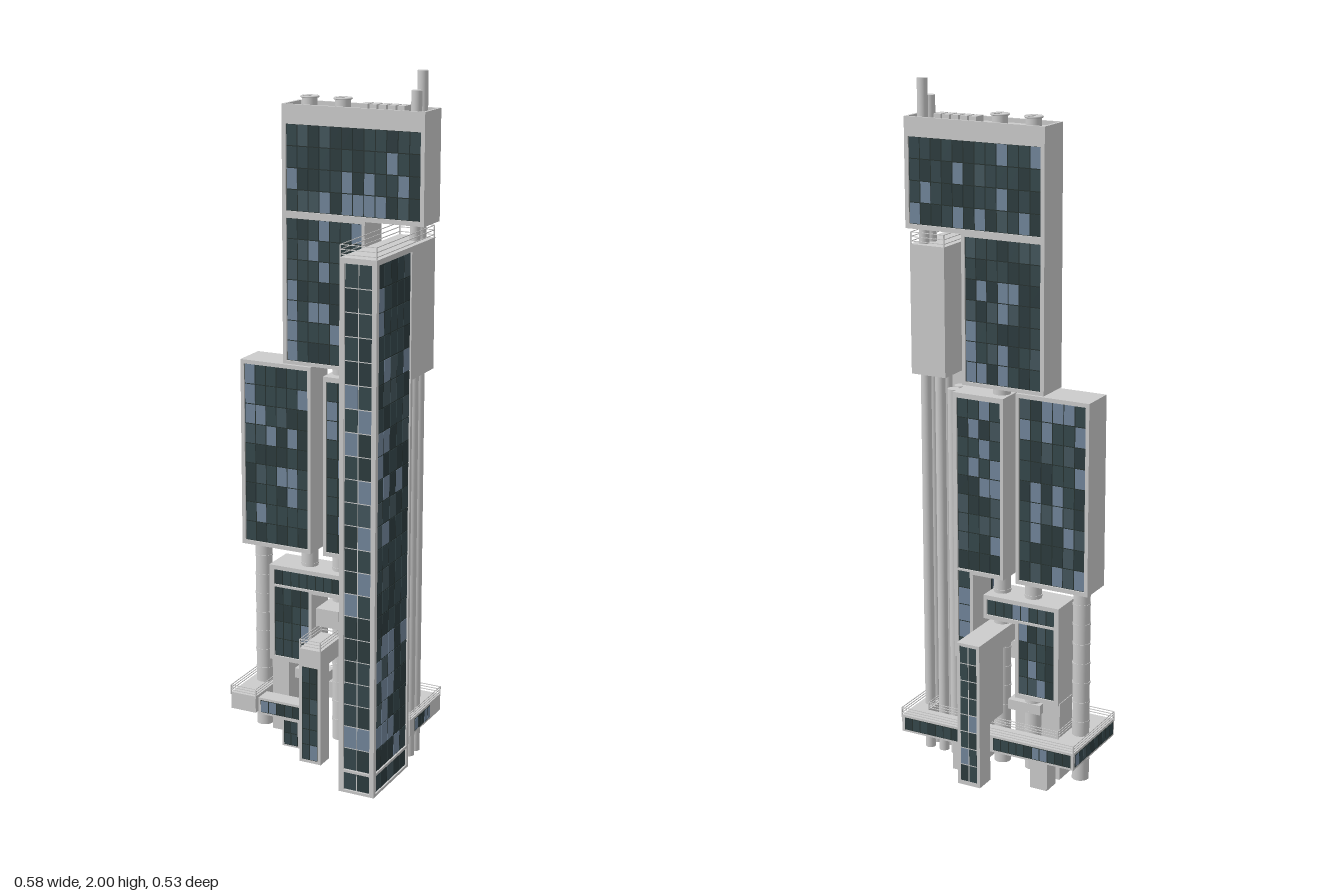
import * as THREE from 'three';
import { mergeGeometries } from 'three/addons/utils/BufferGeometryUtils.js';

const mat = (color) => new THREE.MeshStandardMaterial({ color });
const RECESS = 0.005;

export function createModel() {
  const root = new THREE.Group();
  const grey = mat(0xcccccc), dark = mat(0x26312f);
  const glass = [0x35474b, 0x2c3b3e, 0x43555c, 0x71859a].map(mat);

  let seed = 7;
  const rand = () => (seed = (seed * 16807) % 2147483647) / 2147483647;

  function add(name, geo, material = grey, parent = root) {
    const m = new THREE.Mesh(geo, material);
    m.name = name;
    parent.add(m);
    return m;
  }
  // box given by its limits
  function box(name, x0, x1, y0, y1, z0, z1, material = grey, parent = root) {
    const g = new THREE.BoxGeometry(x1 - x0, y1 - y0, z1 - z0);
    g.translate((x0 + x1) / 2, (y0 + y1) / 2, (z0 + z1) / 2);
    return add(name, g, material, parent);
  }
  function pipe(name, x, z, r, y0, y1, parent = root) {
    const g = new THREE.CylinderGeometry(r, r, y1 - y0, 20);
    g.translate(x, (y0 + y1) / 2, z);
    return add(name, g, grey, parent);
  }

  // grid of panes centred on the origin, facing +z; a few panes are lighter
  function paneGrid(w, h, cols, rows) {
    const group = new THREE.Group();
    group.name = 'glazing';
    const buckets = glass.map(() => []);
    const cw = w / cols, ch = h / rows, gap = 0.003;
    for (let i = 0; i < cols; i++) for (let j = 0; j < rows; j++) {
      const g = new THREE.BoxGeometry(cw - gap, ch - gap, 0.002);
      g.translate((i + 0.5) * cw - w / 2, (j + 0.5) * ch - h / 2, 0);
      const r = rand();
      buckets[r < 0.4 ? 0 : r < 0.7 ? 1 : r < 0.8 ? 2 : 3].push(g);
    }
    buckets.forEach((b, k) => b.length && add('panes', mergeGeometries(b), glass[k], group));
    return group;
  }

  // dark window strip laid on a wall, turned about y
  function strip(x, y, z, w, h, cols, rows, turn = 0) {
    const g = paneGrid(w, h, cols, rows);
    add('windowBacking', new THREE.BoxGeometry(w, h, 0.001), dark, g);
    g.position.set(x, y, z);
    g.rotation.y = turn;
    root.add(g);
  }

  const shapeOf = (pts) => new THREE.Shape(pts.map(([x, y]) => new THREE.Vector2(x, y)));
  const rectPts = (a, b, c, d) => [[a, b], [c, b], [c, d], [a, d]];

  // extruded outline with recessed window panels [u0, v0, u1, v1, cols, rows] on both faces
  function slab(name, outline, d0, d1, panels, alongX = false) {
    const group = new THREE.Group();
    group.name = name;
    const shape = shapeOf(outline);
    for (const [a, b, c, d] of panels) shape.holes.push(new THREE.Path(shapeOf(rectPts(a, b, c, d)).getPoints()));
    const body = new THREE.ExtrudeGeometry(shape, { depth: d1 - d0, bevelEnabled: false });
    body.translate(0, 0, d0);
    add('frame', body, grey, group);
    for (const [a, b, c, d, cols, rows] of panels) {
      box('mullions', a, c, b, d, d0 + RECESS, d1 - RECESS, dark, group);
      for (const front of [true, false]) {
        const p = paneGrid(c - a, d - b, cols, rows);
        p.position.set((a + c) / 2, (b + d) / 2, front ? d1 - RECESS : d0 + RECESS);
        if (!front) p.rotation.y = Math.PI;
        group.add(p);
      }
    }
    if (alongX) group.rotation.y = Math.PI / 2; // outline u becomes -z, depth becomes x
    root.add(group);
    return group;
  }

  // thin rails following a closed plan outline
  function railing(name, pts, levels) {
    const bars = [];
    pts.forEach(([x0, z0], i) => {
      const [x1, z1] = pts[(i + 1) % pts.length];
      for (const y of levels) {
        const g = new THREE.BoxGeometry(Math.abs(x1 - x0) + 0.002, 0.002, Math.abs(z1 - z0) + 0.002);
        bars.push(g.translate((x0 + x1) / 2, y, (z0 + z1) / 2));
      }
      const h = levels[levels.length - 1] - levels[0] + 0.014;
      bars.push(new THREE.BoxGeometry(0.003, h, 0.003).translate(x0, levels[levels.length - 1] - h / 2, z0));
    });
    add(name, mergeGeometries(bars));
  }

  const ZB = -0.118, ZF = -0.01, ZM = -0.064;

  // stacked main slabs
  slab('upperBlock',
    [[-0.148, 1.58], [-0.148, 1.155], [0.11, 1.155], [0.11, 1.585], [0.288, 1.585], [0.288, 1.885], [-0.148, 1.885]],
    ZB, ZF, [[-0.136, 1.598, 0.276, 1.842, 12, 4], [-0.136, 1.165, 0.1, 1.578, 7, 7]]);
  slab('leftBlock', rectPts(-0.288, 0.588, -0.06, 1.152), ZB, ZF, [[-0.277, 0.6, -0.07, 1.14, 6, 9]]);
  slab('centreBlock',
    [[-0.02, 0.59], [0.08, 0.59], [0.08, 0.325], [0.142, 0.325], [0.142, 1.13], [-0.02, 1.13]],
    ZB, ZF, [[-0.01, 0.602, 0.13, 1.115, 4, 9], [0.09, 0.335, 0.13, 0.596, 1, 5]]);
  slab('hookBlock',
    [[-0.198, 0.235], [-0.058, 0.235], [-0.058, 0.463], [0.045, 0.463], [0.045, 0.535], [-0.198, 0.535]],
    ZB, ZF, [[-0.183, 0.248, -0.068, 0.468, 4, 4], [-0.183, 0.475, 0.035, 0.522, 8, 1]]);

  // tall front tower with its rear overhang
  slab('tallTower',
    [[-0.26, 0], [-0.03, 0], [-0.03, 1.165], [0.112, 1.165], [0.112, 1.54], [-0.26, 1.54]],
    0.168, 0.278, [[-0.25, 0.07, -0.042, 1.525, 5, 22], [-0.25, 0.008, -0.042, 0.062, 5, 1]], true);
  slab('towerFront', rectPts(0.168, 0, 0.278, 1.54), 0.253, 0.265,
    [[0.182, 0.07, 0.264, 1.525, 2, 22], [0.182, 0.008, 0.264, 0.062, 2, 1]]);
  railing('towerRailing', [[0.17, -0.11], [0.276, -0.11], [0.276, 0.263], [0.17, 0.263]], [1.548, 1.561, 1.574]);

  // roof parapet and equipment
  const parapet = shapeOf(rectPts(-0.148, 0.01, 0.288, 0.118));
  parapet.holes.push(shapeOf(rectPts(-0.139, 0.018, 0.28, 0.11)));
  const pg = new THREE.ExtrudeGeometry(parapet, { depth: 0.012, bevelEnabled: false });
  add('parapet', pg.rotateX(-Math.PI / 2).translate(0, 1.885, 0));
  for (const x of [-0.089, 0.014]) {
    pipe('fanBase', x, -0.068, 0.022, 1.885, 1.912);
    const ring = new THREE.TorusGeometry(0.024, 0.003, 6, 28);
    add('fanRim', ring.rotateX(Math.PI / 2).translate(x, 1.914, -0.068));
    for (let i = 0; i < 9; i++) {
      const b = new THREE.BoxGeometry(0.02, 0.0015, 0.006).rotateX(0.4).translate(0.012, 0, 0);
      add('fanBlade', b.rotateY(i * Math.PI * 2 / 9).translate(x, 1.915, -0.068));
    }
    pipe('fanHub', x, -0.068, 0.005, 1.91, 1.918);
  }
  for (let i = 0; i < 5; i++) {
    const x = 0.088 + i * 0.028;
    box('roofVent', x - 0.011, x + 0.011, 1.885, 1.905, -0.088, -0.046);
  }

  // service pipes running up behind the tower, ending as chimneys
  for (const [z, top] of [[-0.045, 1.95], [-0.085, 2]]) {
    pipe('servicePipe', 0.247, z, 0.015, 0, top);
    const rim = new THREE.TorusGeometry(0.0135, 0.0015, 6, 20);
    add('chimneyRim', rim.rotateX(Math.PI / 2).translate(0.247, top - 0.0015, z));
    pipe('servicePipe', 0.2, z, 0.015, 0, 1.17);
    pipe('servicePipe', 0.157, z, 0.017, 0, 1.13);
  }

  // round columns under the blocks
  for (const [x, top] of [[-0.245, 0.59], [-0.09, 0.59], [0.012, 1.16]]) {
    pipe('column', x, ZM, 0.025, 0, top);
    for (let y = 0.06; y < 0.58; y += 0.06) pipe('columnBand', x, ZM, 0.0265, y, y + 0.006);
  }

  // raised podium, U-shaped in plan, with window strips
  const plan = [[-0.288, 0.07], [-0.205, 0.07], [-0.205, -0.132], [0.225, -0.132], [0.225, 0.02],
    [0.278, 0.02], [0.278, -0.198], [-0.288, -0.198]];
  const podium = new THREE.ExtrudeGeometry(shapeOf(plan.map(([x, z]) => [x, -z])), { depth: 0.052, bevelEnabled: false });
  add('podium', podium.rotateX(-Math.PI / 2).translate(0, 0.088, 0));
  railing('podiumRailing', plan, [0.147, 0.155, 0.163]);
  strip(0.279, 0.114, -0.067, 0.11, 0.038, 5, 1, Math.PI / 2);
  strip(-0.289, 0.114, -0.064, 0.25, 0.038, 10, 1, -Math.PI / 2);
  strip(-0.155, 0.114, -0.199, 0.25, 0.038, 10, 1, Math.PI);
  strip(0.163, 0.114, -0.199, 0.21, 0.038, 8, 1, Math.PI);
  box('frontPodium', -0.195, -0.02, 0.088, 0.14, 0.018, 0.07);
  strip(-0.107, 0.114, 0.071, 0.16, 0.038, 6, 1);

  // legs and low service boxes
  box('podiumLeg', -0.2, -0.145, 0, 0.09, -0.19, -0.135);
  box('podiumLeg', 0.05, 0.11, 0, 0.09, -0.19, -0.135);
  box('frontLeg', -0.117, -0.058, 0, 0.09, 0.022, 0.066);
  strip(-0.088, 0.044, 0.067, 0.045, 0.076, 2, 2);
  box('serviceCore', 0.05, 0.11, 0, 0.28, -0.11, -0.03);
  box('serviceCore', -0.2, -0.145, 0, 0.24, -0.11, -0.03);
  box('linkBridge', -0.125, -0.02, 0.18, 0.21, -0.09, -0.03);

  // stair towers, front and back, each with an arm reaching the centre
  slab('frontStair', [[-0.14, 0], [-0.085, 0], [-0.085, 0.3], [0, 0.3], [0, 0.355], [-0.14, 0.355]],
    -0.022, 0.048, [], true);
  strip(0.013, 0.155, 0.141, 0.05, 0.29, 2, 6);
  railing('frontStairRailing', [[-0.02, 0], [0.046, 0], [0.046, 0.138], [-0.02, 0.138]], [0.364, 0.373, 0.382]);
  slab('backStair',
    [[0.265, 0], [0.265, 0.44], [-0.03, 0.44], [-0.03, 0.385], [0.125, 0.385], [0.125, 0.18], [0.203, 0.18], [0.203, 0]],
    -0.022, 0.051, [], true);
  strip(0.014, 0.222, -0.2645, 0.055, 0.42, 2, 8, Math.PI);

  return root;
}
